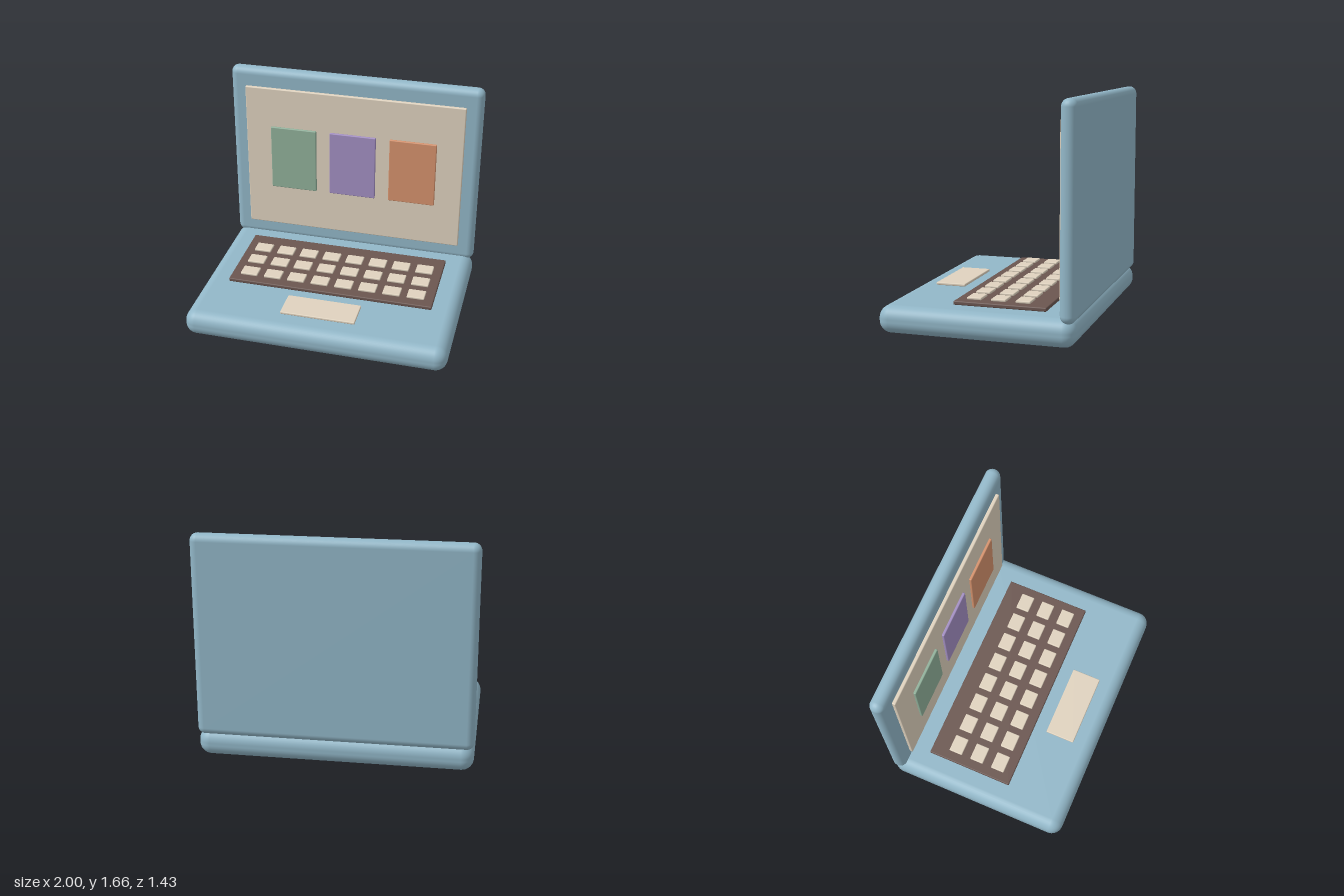
import * as THREE from 'three';
import { RoundedBoxGeometry } from 'three/addons/geometries/RoundedBoxGeometry.js';

const paint = (color) => new THREE.MeshStandardMaterial({ color });

export function createModel() {
  const model = new THREE.Group();
  model.name = 'laptop';

  const blue = paint(0x92b7c8);
  const cream = paint(0xdfd2be);
  const brown = paint(0x6b5650);

  // Rounded block given by its extents along each axis
  function block(name, [x0, x1], [y0, y1], [z0, z1], radius, material, parent = model, segments = 2) {
    const geometry = new RoundedBoxGeometry(x1 - x0, y1 - y0, z1 - z0, segments, radius);
    const mesh = new THREE.Mesh(geometry, material);
    mesh.name = name;
    mesh.position.set((x0 + x1) / 2, (y0 + y1) / 2, (z0 + z1) / 2);
    parent.add(mesh);
    return mesh;
  }

  // Body: base and upright lid
  block('base', [-1, 1], [0, 0.2], [-0.715, 0.715], 0.09, blue, model, 5);
  block('lid', [-1, 1], [0.17, 1.665], [-0.715, -0.602], 0.055, blue, model, 5);

  // Screen with three coloured cards
  block('screen', [-0.875, 0.875], [0.308, 1.52], [-0.604, -0.575], 0.008, cream);
  const cards = new THREE.Group();
  cards.name = 'screenCards';
  model.add(cards);
  [0x90b09a, 0xa38fc3, 0xd5926d].forEach((color, i) => {
    const x = (i - 1) * 0.482;
    block('card', [x - 0.186, x + 0.186], [0.665, 1.2], [-0.575, -0.553], 0.007, paint(color), cards);
  });

  // Keyboard tray and trackpad
  block('keyboardTray', [-0.803, 0.803], [0.202, 0.231], [-0.467, 0.21], 0.008, brown);
  block('trackpad', [-0.286, 0.286], [0.209, 0.23], [0.313, 0.543], 0.007, cream);

  // Keys: three rows of eight
  const keys = new THREE.Group();
  keys.name = 'keys';
  model.add(keys);
  for (let row = 0; row < 3; row++) {
    for (let col = 0; col < 8; col++) {
      const x = (col - 3.5) * 0.1897;
      const z = -0.277 + row * 0.179;
      block('key', [x - 0.068, x + 0.068], [0.229, 0.248], [z - 0.054, z + 0.054], 0.007, cream, keys);
    }
  }

  return model;
}
